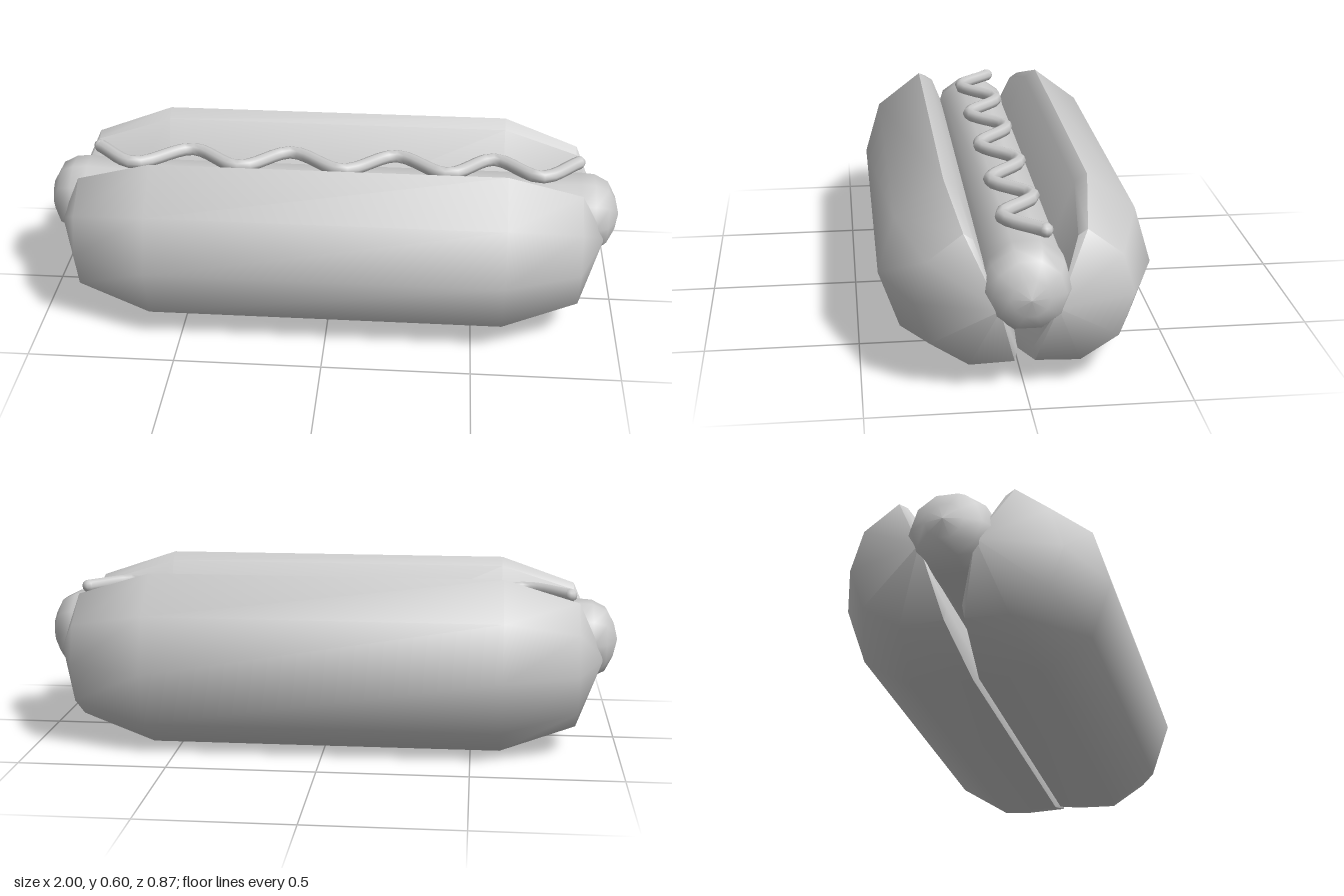
import * as THREE from 'three';
import { mergeVertices, toCreasedNormals } from 'three/addons/utils/BufferGeometryUtils.js';

const material = new THREE.MeshStandardMaterial({ color: 0xcccccc });

function part(name, geometry) {
  const mesh = new THREE.Mesh(geometry, material);
  mesh.name = name;
  return mesh;
}

// Half bun: a D-shaped (z, y) section shrunk towards the middle of its cut face at both ends
function bunGeometry() {
  const section = [[0.01, 0.01], [0.205, 0.003], [0.37, 0.11], [0.435, 0.297], [0.38, 0.483],
    [0.225, 0.602], [0.185, 0.575], [0, 0.07]];
  const pivot = [0.087, 0.307];
  const stations = [[-0.95, 0], [-0.855, 0.72], [-0.6, 1], [0.6, 1], [0.855, 0.72], [0.95, 0]];
  const n = section.length;
  const positions = [], index = [];
  for (const [x, s] of stations) {
    for (const [z, y] of section) {
      positions.push(x, pivot[1] + (y - pivot[1]) * s, pivot[0] + (z - pivot[0]) * s);
    }
  }
  const last = stations.length - 2;
  for (let i = 0; i <= last; i++) {
    for (let j = 0; j < n; j++) {
      const a = i * n + j, b = i * n + (j + 1) % n, c = a + n, d = b + n;
      if (i < last) index.push(a, c, d);
      if (i > 0) index.push(a, d, b);
      if (i === last) continue;
      if (i === 0) continue;
    }
  }
  // Close the two pointed ends
  const geometry = new THREE.BufferGeometry();
  geometry.setAttribute('position', new THREE.Float32BufferAttribute(positions, 3));
  geometry.setIndex(index);
  return toCreasedNormals(mergeVertices(geometry), 1.0);
}

// Sausage: lathe with rounded, slightly swollen ends, laid along x
function sausageGeometry() {
  const end = [[0, 1], [0.06, 0.985], [0.112, 0.957], [0.136, 0.91], [0.14, 0.86], [0.134, 0.78]];
  const profile = [...end.map(([r, x]) => [r, -x]), ...end.slice().reverse()];
  const geometry = new THREE.LatheGeometry(profile.map(([r, x]) => new THREE.Vector2(r, x)), 10);
  return geometry.rotateZ(-Math.PI / 2);
}

export function createModel() {
  const model = new THREE.Group();

  const bun = bunGeometry();
  const frontBun = part('frontBun', bun);
  const backBun = part('backBun', bun);
  backBun.rotation.y = Math.PI;
  model.add(frontBun, backBun);

  const sausage = part('sausage', sausageGeometry());
  sausage.position.y = 0.358;
  model.add(sausage);

  // Wavy sauce line with rounded tips
  const sauce = new THREE.Group();
  sauce.name = 'sauce';
  const bends = [-0.83, -0.685, -0.5, -0.32, -0.15, 0.04, 0.22, 0.4, 0.56, 0.72, 0.855];
  const points = bends.map((x, i) => new THREE.Vector3(x, 0.521, i % 2 ? 0.058 : -0.06));
  const path = new THREE.CatmullRomCurve3(points);
  sauce.add(part('sauceLine', new THREE.TubeGeometry(path, 60, 0.023, 8)));
  for (const p of [points[0], points[points.length - 1]]) {
    const tip = part('sauceTip', new THREE.SphereGeometry(0.023, 8, 6));
    tip.position.copy(p);
    sauce.add(tip);
  }
  model.add(sauce);
  return model;
}
